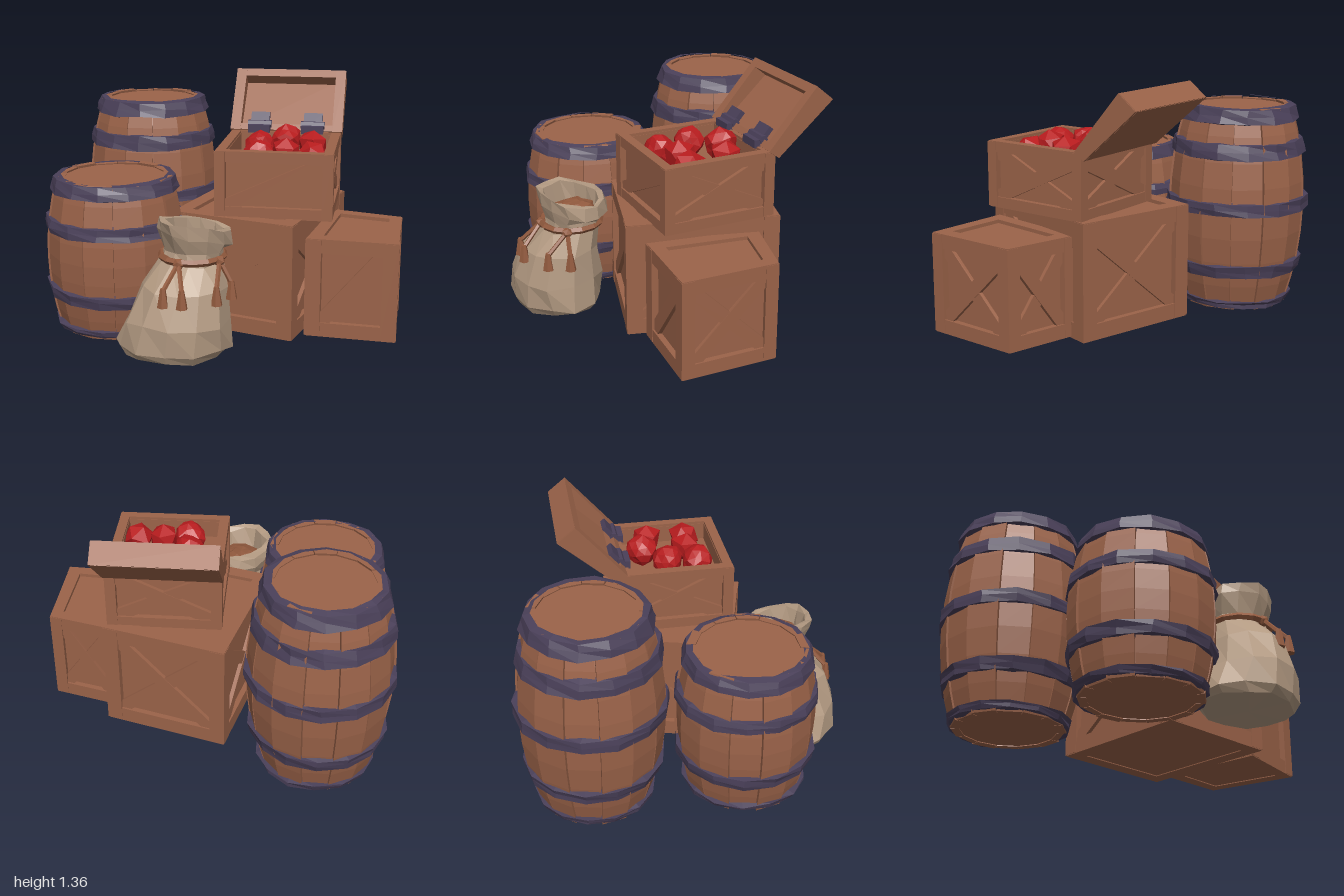
import * as THREE from 'three';

const mat = (name, color) => Object.assign(new THREE.MeshStandardMaterial({ color }), { name });
const V2 = (x, y) => new THREE.Vector2(x, y);
const V3 = (x, y, z) => new THREE.Vector3(x, y, z);
const lerp = THREE.MathUtils.lerp;

// Move every vertex by a rule
function warp(geo, rule) {
  const p = geo.attributes.position, v = V3(0, 0, 0);
  for (let i = 0; i < p.count; i++) {
    rule(v.fromBufferAttribute(p, i));
    p.setXYZ(i, v.x, v.y, v.z);
  }
  return geo;
}
// Repeatable hand-cut irregularity, equal for coincident vertices
function jitter(geo, amount) {
  const h = (v, k) => {
    const s = Math.sin(Math.round(v.x * 500) * 12.99 + Math.round(v.y * 500) * 78.23 + Math.round(v.z * 500) * 37.72 + k) * 43758.5;
    return (s - Math.floor(s) - 0.5) * 2 * amount;
  };
  return warp(geo, v => v.add(V3(h(v, 1), h(v, 2), h(v, 3))));
}
// Faceted mesh
function add(group, name, geo, material) {
  const g = geo.index ? geo.toNonIndexed() : geo;
  g.computeVertexNormals();
  const m = new THREE.Mesh(g, material);
  m.name = name;
  group.add(m);
  return m;
}
function subgroup(parent, name) {
  const g = new THREE.Group();
  g.name = name;
  parent.add(g);
  return g;
}
const box = (w, h, d, x = 0, y = 0, z = 0) => new THREE.BoxGeometry(w, h, d).translate(x, y, z);

export function createModel() {
  const root = new THREE.Group();
  const wood = mat('wood', 0x9b6349), iron = mat('dark iron', 0x4a4059);
  const cloth = mat('sack cloth', 0xb39a82), red = mat('red gem', 0xb81c1e);
  const rope = mat('rope brown', 0x925a3e);

  // Barrel: bent staves around a core, with iron hoops
  function barrel(name, x, z, h, rEnd, rMid, hoops) {
    const g = subgroup(root, name), n = 14;
    g.position.set(x, 0, z);
    const radius = y => rEnd + (rMid - rEnd) * (1 - (2 * y / h - 1) ** 2);
    const core = [V2(0, 0.005), V2(rEnd - 0.01, 0.005)];
    for (let i = 1; i < 8; i++) core.push(V2(radius(h * i / 8) - 0.02, h * i / 8));
    core.push(V2(rEnd - 0.03, h - 0.02), V2(0, h - 0.02));
    add(g, 'barrelCore', new THREE.LatheGeometry(core, n), wood);
    for (let i = 0; i < n; i++) {
      const proud = 0.007 * Math.sin(i * 2.4);
      const geo = warp(new THREE.BoxGeometry(0.97, 1, 1, 1, 8, 1), v => {
        const y = (v.y + 0.5) * (h - 0.006 - 0.004 * (i % 3));
        const a = (i + v.x) * Math.PI * 2 / n;
        const r = radius(y) + (v.z > 0 ? proud : -0.045);
        v.set(r * Math.sin(a), y, r * Math.cos(a));
      });
      add(g, 'stave', geo, wood);
    }
    for (const [y0, y1] of hoops) {
      const a = radius(y0), b = radius(y1), o = 0.018;
      const pts = [V2(a - 0.02, y0), V2(a + o, y0 + 0.006), V2(radius((y0 + y1) / 2) + o, (y0 + y1) / 2), V2(b + o, y1 - 0.006), V2(b - 0.02, y1)];
      add(g, 'hoop', jitter(new THREE.LatheGeometry(pts, n), 0.006), iron);
    }
  }
  barrel('tallBarrel', -0.58, -0.54, 1.18, 0.305, 0.4, [[0.005, 0.055], [0.2, 0.28], [0.57, 0.65], [0.89, 0.985], [1.085, 1.18]]);
  barrel('shortBarrel', -0.6, 0.3, 0.875, 0.32, 0.385, [[0.005, 0.055], [0.19, 0.27], [0.57, 0.65], [0.785, 0.87]]);

  // Crate: framed panels with braces, fitted to four ground corners
  // Corners run front left, front right, back right, back left as [x, z]
  function crate(name, c, y0, y1, t, open) {
    const g = subgroup(root, name), h = y1 - y0, e = 0.035;
    const dist = (a, b) => Math.hypot(a[0] - b[0], a[1] - b[1]);
    const w = (dist(c[0], c[1]) + dist(c[2], c[3])) / 2, d = (dist(c[1], c[2]) + dist(c[3], c[0])) / 2;
    const fit = v => {
      const s = v.x / w + 0.5, f = v.z / d + 0.5;
      const at = k => lerp(lerp(c[3][k], c[2][k], s), lerp(c[0][k], c[1][k], s), f);
      v.set(at(0), v.y + y0, at(1));
    };
    const part = (n, geo) => add(g, n, warp(geo, fit), wood);
    part('bottomBoard', box(w - 0.01, 0.03, d - 0.01, 0, 0.02, 0));
    part('topBoard', box(w - 0.08, 0.03, d - 0.08, 0, h - (open ? 0.13 : 0.035), 0));
    for (const s of [-1, 1]) {
      for (const q of [-1, 1]) {
        part('post', box(t, h - 0.01, t, s * (w - t) / 2, h / 2, q * (d - t) / 2));
        const y = h / 2 + q * (h - t) / 2;
        part('sideRail', box(t - 0.006, t, d - 0.012, s * (w - t) / 2, y, 0));
        part('crossRail', box(w - 0.012, t, t - 0.006, 0, y, s * (d - t) / 2));
      }
      part('sidePanel', box(0.025, h - 0.03, d - 0.05, s * (w / 2 - e - 0.0125), h / 2, 0));
      part('endPanel', box(w - 0.05, h - 0.03, 0.025, 0, h / 2, s * (d / 2 - e - 0.0125)));
      // Diagonal braces: crossed on sides and back, single on the front
      const brace = (span, tilt, thick) => {
        const a = span - 2 * t, b = h - 2 * t;
        return box(Math.hypot(a, b), 0.075, thick).rotateZ(tilt * Math.atan2(b, a));
      };
      for (const tilt of [-1, 1]) {
        const thick = tilt > 0 ? 0.03 : 0.024;
        part('sideBrace', brace(d, tilt, thick).rotateY(s * Math.PI / 2).translate(s * (w / 2 - e + 0.008), h / 2, 0));
        if (s < 0 || tilt > 0) part('endBrace', brace(w, tilt, thick).translate(0, h / 2, s * (d / 2 - e + 0.008)));
      }
    }
  }
  crate('largeCrate', [[-0.28, 0.29], [0.42, 0.49], [0.645, -0.33], [-0.06, -0.53]], 0.005, 0.66, 0.09);
  crate('smallCrate', [[0.48, 0.4], [0.985, 0.43], [0.995, -0.12], [0.58, -0.23]], 0.01, 0.57, 0.08);
  crate('chest', [[-0.03, 0.35], [0.62, 0.35], [0.62, -0.3], [-0.03, -0.3]], 0.655, 1.025, 0.06, true);

  // Chest lid: shallow tray leaning back; y runs along it, -z through its thickness
  const lid = subgroup(root, 'chestLid');
  const lidPart = (name, x0, x1, a0, a1, b0, b1) => {
    const geo = box(x1 - x0, a1 - a0, b1 - b0, (x0 + x1) / 2, (a0 + a1) / 2, -(b0 + b1) / 2);
    add(lid, name, warp(geo, v => {
      const a = v.y, b = -v.z;
      v.set(v.x, lerp(lerp(1.03, 1.355, a), lerp(0.985, 1.27, a), b), lerp(lerp(-0.26, -0.54, a), lerp(-0.32, -0.645, a), b));
    }), wood);
  };
  lidPart('lidBoard', -0.03, 0.61, 0.01, 0.99, 0.7, 1);
  lidPart('lidSide', -0.04, 0.02, 0, 0.995, 0, 0.99);
  lidPart('lidSide', 0.565, 0.625, 0, 0.995, 0, 0.99);
  lidPart('lidTopRim', -0.035, 0.62, 0.88, 1, 0.01, 0.98);
  lidPart('lidBottomRim', -0.035, 0.62, 0.005, 0.1, 0.01, 0.98);

  // Hinges
  for (const x of [0.135, 0.45]) {
    const g = subgroup(root, 'hinge');
    g.position.set(x, 1.04, -0.275);
    add(g, 'hingeLeaf', box(0.13, 0.045, 0.07, 0, 0, 0.01), iron);
    add(g, 'hingeUpperLeaf', box(0.11, 0.11, 0.03, 0, 0.045, 0).rotateX(-0.7), iron);
    add(g, 'hingePin', new THREE.CylinderGeometry(0.025, 0.025, 0.14, 6).rotateZ(Math.PI / 2).translate(0, 0.02, -0.01), iron);
  }

  // Gems
  const gems = [[0.31, 1.0, -0.13], [0.47, 0.99, -0.08], [0.18, 0.985, 0], [0.34, 0.98, 0.13], [0.19, 0.97, 0.18], [0.49, 0.975, 0.15]];
  gems.forEach(([x, y, z], i) => {
    const m = add(root, 'gem', jitter(new THREE.IcosahedronGeometry(0.09, i % 2 ? 0 : 1), 0.008), red);
    m.position.set(x, y, z);
    m.rotation.set(i * 1.3, i * 0.9, i * 0.4);
  });

  // Sack: rings of [y, centre x, centre z, radius x, radius z]
  const sack = subgroup(root, 'sack');
  const rings = [
    [0.005, -0.19, 0.68, 0, 0], [0.005, -0.19, 0.68, 0.28, 0.23], [0.05, -0.19, 0.68, 0.31, 0.26],
    [0.2, -0.16, 0.69, 0.28, 0.265], [0.38, -0.13, 0.67, 0.225, 0.22], [0.5, -0.1, 0.61, 0.165, 0.155],
    [0.55, -0.09, 0.6, 0.16, 0.155], [0.62, -0.08, 0.6, 0.2, 0.19], [0.69, -0.085, 0.61, 0.195, 0.19],
    [0.685, -0.085, 0.61, 0.15, 0.145], [0.56, -0.085, 0.6, 0.13, 0.125]];
  const sackGeo = warp(new THREE.LatheGeometry(rings.map((r, i) => V2(1, i)), 12), v => {
    const i = Math.round(v.y), [y, cx, cz, rx, rz] = rings[i];
    const lean = i > 6 ? -0.15 * v.x * rx + 0.12 * v.z * rz : 0;
    v.set(cx + v.x * rx, y + lean, cz + v.z * rz);
  });
  const sackMesh = add(sack, 'sackCloth', warp(jitter(sackGeo, 0.013), v => { v.y = Math.max(v.y, 0); }), cloth);
  sackMesh.position.y = 0;
  add(sack, 'sackContents', jitter(new THREE.SphereGeometry(0.14, 9, 4, 0, Math.PI * 2, 0, Math.PI / 2).scale(1, 0.35, 1).translate(-0.085, 0.585, 0.605), 0.008), rope);

  // Neck tie with hanging tassels
  add(sack, 'neckTie', new THREE.TorusGeometry(0.168, 0.02, 5, 14).rotateX(Math.PI / 2).translate(-0.098, 0.52, 0.61), rope);
  const tassels = [[-0.14, 0.775, -0.2, 0.885], [-0.14, 0.775, -0.1, 0.895], [0.06, 0.69, 0.065, 0.81], [0.06, 0.69, 0.125, 0.7]];
  for (const [kx, kz, x, z] of tassels) {
    const path = new THREE.LineCurve3(V3(kx, 0.52, kz), V3(x, 0.4, z));
    add(sack, 'tieCord', new THREE.TubeGeometry(path, 1, 0.013, 5), rope);
    add(sack, 'tassel', new THREE.CylinderGeometry(0.014, 0.032, 0.1, 6).translate(x, 0.365, z), rope);
    add(sack, 'knot', new THREE.IcosahedronGeometry(0.032, 0).translate(kx, 0.515, kz), rope);
  }
  return root;
}
